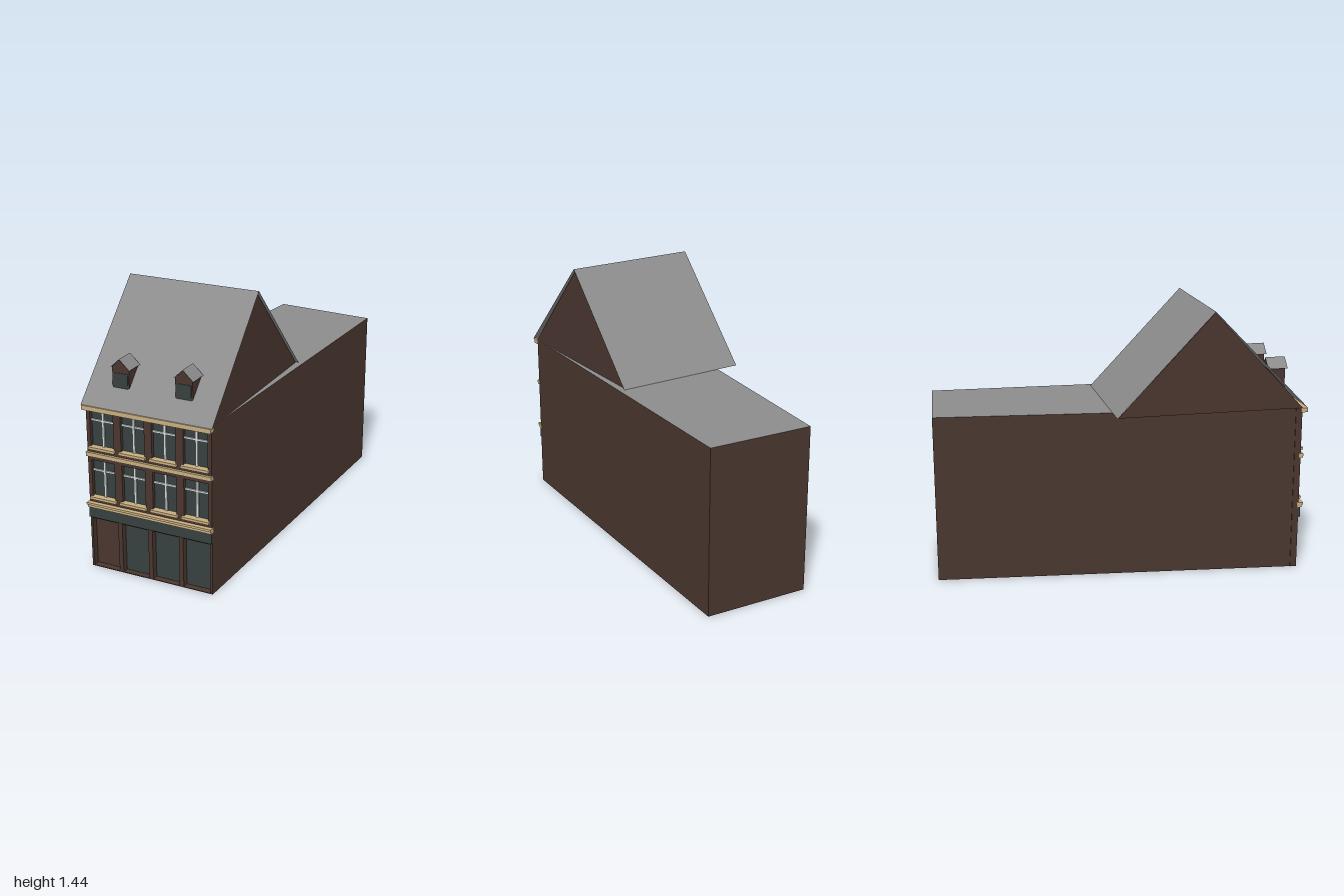
import * as THREE from 'three';

const mat = (name, color, side = THREE.FrontSide) => {
  const m = new THREE.MeshStandardMaterial({ color, side });
  m.name = name;
  return m;
};

export function createModel() {
  const brick = mat('brown brick', 0x4a362f, THREE.DoubleSide);
  const slate = mat('grey roof', 0x8c8c8c, THREE.DoubleSide);
  const glass = mat('dark glass', 0x364040, THREE.DoubleSide);
  const cream = mat('cream stone', 0xc8ae80);
  const white = mat('white glazing bar', 0xd2d6d6);

  // The house stands turned on its plot; everything below is in facade axes
  const house = new THREE.Group();
  house.name = 'house';
  house.rotation.y = -THREE.MathUtils.degToRad(23);

  const add = (name, geometry, material, parent = house) => {
    const mesh = new THREE.Mesh(geometry, material);
    mesh.name = name;
    parent.add(mesh);
    return mesh;
  };
  // Box given by its limits on each axis
  const box = (name, m, x0, x1, y0, y1, z0, z1, parent) =>
    add(name, new THREE.BoxGeometry(x1 - x0, y1 - y0, z1 - z0)
      .translate((x0 + x1) / 2, (y0 + y1) / 2, (z0 + z1) / 2), m, parent);
  // Flat convex polygon
  const face = (name, m, pts, parent) => {
    const pos = [];
    for (let i = 1; i < pts.length - 1; i++) pos.push(...pts[0], ...pts[i], ...pts[i + 1]);
    const g = new THREE.BufferGeometry();
    g.setAttribute('position', new THREE.Float32BufferAttribute(pos, 3));
    g.computeVertexNormals();
    return add(name, g, m, parent);
  };

  const L = -0.389, R = 0.306, F = 0.92, EAVE = 0.9, RIDGE = 1.437;
  const bay = (R - L) / 4;
  const centre = i => L + bay * (i + 0.5);

  // Side and back walls on the tapering plot, open underneath, with a flat roof
  const plot = [[R, F], [0.389, -0.97], [-0.175, -1.013], [L, F]];
  ['leftWall', 'backWall', 'rightWall'].forEach((name, i) => {
    const [p, q] = [plot[i], plot[i + 1]];
    face(name, brick, [[p[0], 0, p[1]], [q[0], 0, q[1]], [q[0], EAVE, q[1]], [p[0], EAVE, p[1]]]);
  });
  face('flatRoof', slate, plot.map(([x, z]) => [x, EAVE, z]));

  // Front wall with door and window openings
  const wall = new THREE.Shape([[L, 0], [R, 0], [R, EAVE - 0.002], [L, EAVE - 0.002]].map(p => new THREE.Vector2(...p)));
  const opening = (x, half, y0, y1) => wall.holes.push(new THREE.Path(
    [[x - half, y0], [x - half, y1], [x + half, y1], [x + half, y0]].map(p => new THREE.Vector2(...p))));
  const rows = [[0.4, 0.602, 0.543], [0.675, 0.876, 0.815]];
  const wHalf = 0.066, dHalf = 0.075;
  for (let i = 0; i < 4; i++) {
    const x = centre(i);
    opening(x, dHalf, 0.004, 0.276);
    // Shopfront: one solid door, three glazed bays
    box(i ? 'shopWindow' : 'door', i ? glass : brick, x - dHalf, x + dHalf, 0.004, 0.276, F - 0.04, F - 0.034);
    for (const [y0, y1, bar] of rows) {
      opening(x, wHalf, y0, y1);
      box('windowGlass', glass, x - wHalf, x + wHalf, y0, y1, F - 0.026, F - 0.02);
      box('verticalBar', white, x - 0.006, x + 0.006, y0, y1, F - 0.02, F - 0.012);
      box('crossBar', white, x - wHalf, x + wHalf, bar - 0.005, bar + 0.005, F - 0.02, F - 0.013);
      box('windowSill', cream, x - 0.076, x + 0.076, y0 - 0.012, y0 + 0.002, F - 0.02, F + 0.015);
    }
  }
  add('frontWall', new THREE.ExtrudeGeometry(wall, { depth: 0.035, bevelEnabled: false })
    .translate(0, 0, F - 0.035), brick);

  // Horizontal bands across the facade
  box('shopFascia', glass, L, R, 0.285, 0.342, F - 0.01, F + 0.01);
  box('lowerCornice', cream, L - 0.002, R + 0.002, 0.342, 0.358, F - 0.01, F + 0.016);
  box('lowerCorniceTop', cream, L - 0.005, R + 0.004, 0.358, 0.37, F - 0.01, F + 0.024);
  box('stringCourse', cream, L - 0.003, R + 0.003, 0.624, 0.646, F - 0.01, F + 0.014);
  box('eavesCornice', cream, L - 0.01, R + 0.008, 0.877, 0.901, F - 0.01, F + 0.027);

  // Main pitched roof and its gables
  const rl = -0.402, rr = 0.322, zf = 0.944, zr = 0.428, zb = -0.085;
  face('frontRoofSlope', slate, [[rl, EAVE + 0.003, zf], [rr, EAVE + 0.003, zf], [rr, RIDGE, zr], [rl, RIDGE, zr]]);
  face('backRoofSlope', slate, [[rr, EAVE, zb], [rl, EAVE, zb], [rl, RIDGE, zr], [rr, RIDGE, zr]]);
  for (const [name, x] of [['leftGable', R + 0.002], ['rightGable', L - 0.004]])
    face(name, brick, [[x, EAVE, F], [x, EAVE, zb + 0.006], [x, RIDGE - 0.006, zr]]);

  // Dormers
  for (const x of [-0.219, 0.13]) {
    const d = new THREE.Group();
    d.name = 'dormer';
    d.position.x = x;
    house.add(d);
    const h = 0.047, e = 0.056, z0 = 0.763, z1 = 0.858;
    const front = new THREE.Shape([[-h, 0.985], [h, 0.985], [h, 1.095], [0, 1.138], [-h, 1.095]].map(p => new THREE.Vector2(...p)));
    add('dormerBody', new THREE.ExtrudeGeometry(front, { depth: z1 - z0, bevelEnabled: false }).translate(0, 0, z0), brick, d);
    box('dormerWindow', glass, -0.04, 0.04, 0.99, 1.066, z1 - 0.002, z1 + 0.003, d);
    for (const s of [-1, 1])
      face('dormerRoof', slate, [[0, 1.143, z0], [0, 1.143, z1 + 0.012], [s * e, 1.09, z1 + 0.012], [s * e, 1.09, z0]], d);
  }

  const model = new THREE.Group();
  model.name = 'townHouse';
  model.add(house);
  return model;
}
